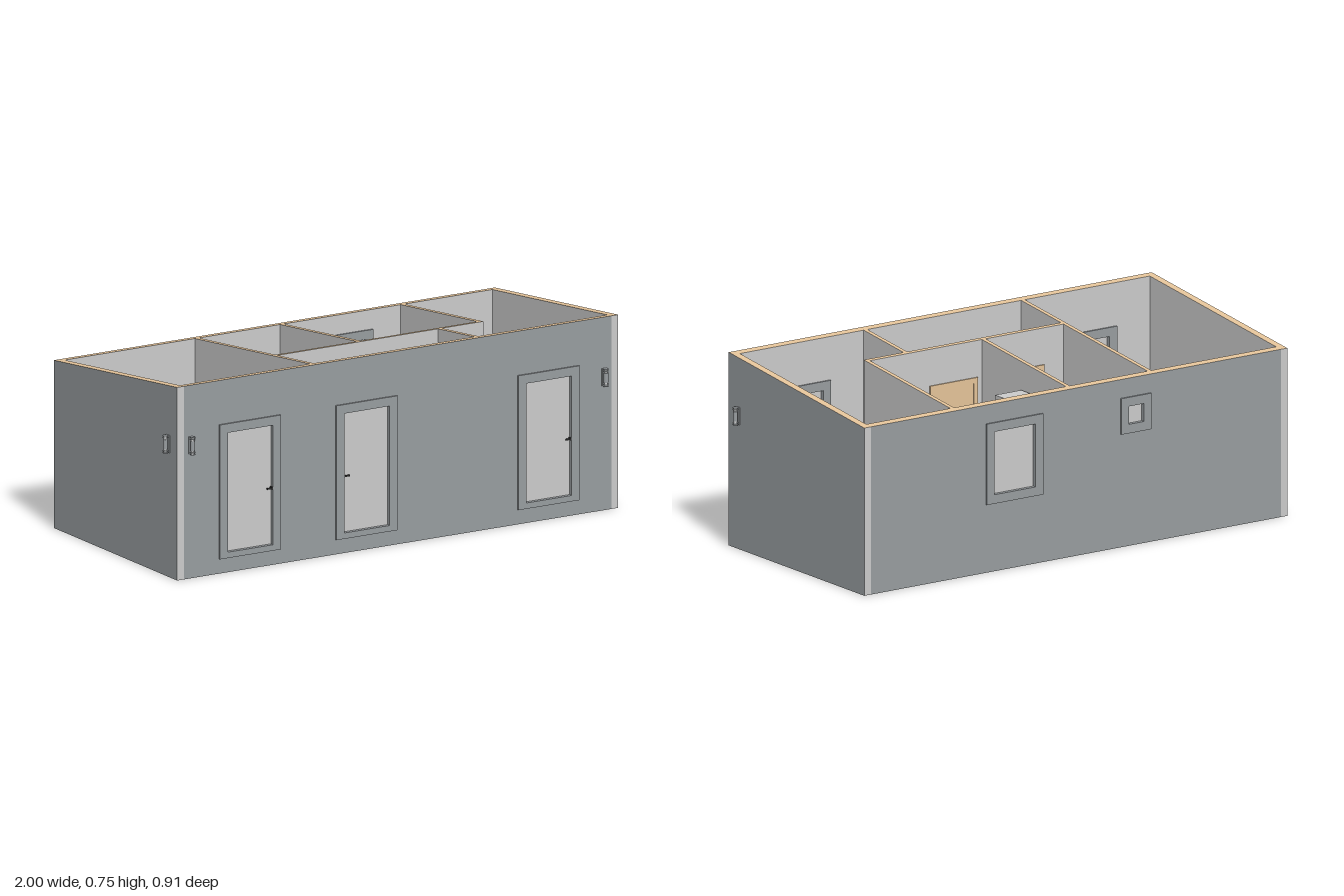
import * as THREE from 'three';
import { RoundedBoxGeometry } from 'three/addons/geometries/RoundedBoxGeometry.js';

const mat = (color) => new THREE.MeshStandardMaterial({ color });
const grey = mat(0xcccccc), outer = mat(0x989da0), tan = mat(0xe5c49a), floorMat = mat(0xd9c4a4);
const dark = mat(0x666666), black = mat(0x333333), brown = mat(0x7a6455);
const X = 0.975, ZB = -0.447, ZF = 0.43, T = 0.03, FLOOR = 0.035;
const roof = (z) => 0.653 + 0.099 * (z - ZB) / (ZF - ZB);

export function createModel() {
  const root = new THREE.Group();
  const add = (parent, name, geometry, material, x = 0, y = 0, z = 0) => {
    const m = new THREE.Mesh(geometry, material);
    m.name = name;
    m.position.set(x, y, z);
    parent.add(m);
    return m;
  };
  // box given by its limits
  const box = (parent, name, x0, x1, y0, y1, z0, z1, material = grey) =>
    add(parent, name, new THREE.BoxGeometry(x1 - x0, y1 - y0, z1 - z0), material,
      (x0 + x1) / 2, (y0 + y1) / 2, (z0 + z1) / 2);
  const group = (name, parent = root) => {
    const g = new THREE.Group();
    g.name = name;
    parent.add(g);
    return g;
  };
  // wall block whose top follows the sloping roof line
  const wall = (name, x0, x1, z0, z1, sides = {}, y0 = 0) => {
    const mats = ['px', 'nx', 'py', 'ny', 'pz', 'nz'].map((k) => sides[k] || (k[1] === 'y' ? tan : grey));
    const m = box(root, name, x0, x1, y0, 1, z0, z1, mats);
    const p = m.geometry.attributes.position;
    for (let i = 0; i < p.count; i++) {
      if (p.getY(i) > 0) p.setY(i, roof(p.getZ(i) + m.position.z) - m.position.y);
    }
    m.geometry.computeVertexNormals();
  };
  // rectangular frame standing in the xy plane, centred on z
  const frameGeo = (w, h, b, bottom, depth) => {
    const s = new THREE.Shape([[0, 0], [w, 0], [w, h], [0, h]].map(([x, y]) => new THREE.Vector2(x - w / 2, y)));
    s.holes.push(new THREE.Path([[b, bottom], [b, h - b], [w - b, h - b], [w - b, bottom]]
      .map(([x, y]) => new THREE.Vector2(x - w / 2, y))));
    return new THREE.ExtrudeGeometry(s, { depth, bevelEnabled: false }).translate(0, 0, -depth / 2);
  };
  // lever handles on both faces of a door
  const handles = (parent, x, y, half, dir) => {
    for (const s of [1, -1]) {
      const z = s * (half + 0.006);
      box(parent, 'doorHandle', x - 0.004, x + 0.004, y - 0.005, y + 0.005, z - 0.008, z + 0.008, black);
      box(parent, 'doorHandle', Math.min(x, x + dir * 0.025), Math.max(x, x + dir * 0.025),
        y - 0.003, y + 0.003, z + s * 0.007 - 0.002, z + s * 0.007 + 0.002, black);
    }
  };

  // floor slab, recessed under the walls
  box(root, 'floor', -X + T, X - T, 0.016, FLOOR, ZB + T, ZF - T,
    [outer, outer, floorMat, outer, outer, outer]);

  // outer walls with openings for doors and windows
  wall('sideWall', -X, -X + T, ZB, ZF, { nx: outer });
  wall('sideWall', X - T, X, ZB, ZF, { px: outer });
  const longWall = (name, z0, z1, sides, openings) => {
    let x = -X + T;
    for (const o of openings) {
      const b = 0.035, a0 = o.x0 + b / 2, a1 = o.x1 - b / 2;
      const y0 = o.y0 + 0.012, y1 = o.y1 - b / 2;
      wall(name, x, a0, z0, z1, sides);
      box(root, name, a0, a1, 0, y0, z0, z1, ['px', 'nx', 'py', 'ny', 'pz', 'nz'].map((k) => sides[k] || (k[1] === 'y' ? tan : grey)));
      wall(name, a0, a1, z0, z1, sides, y1);
      x = a1;
      const g = group(o.name);
      g.position.set((o.x0 + o.x1) / 2, o.y0, (z0 + z1) / 2);
      const w = o.x1 - o.x0, h = o.y1 - o.y0, bottom = o.handle ? 0.023 : b;
      add(g, 'frame', frameGeo(w, h, b, bottom, T + 0.014), outer);
      box(g, 'pane', -w / 2 + b, w / 2 - b, bottom, h - b, -0.006, 0.006);
      if (o.handle) handles(g, o.handle * (w / 2 - b), 0.243, 0.006, -o.handle);
    }
    wall(name, x, X - T, z0, z1, sides);
  };
  const door = (x, handle) => ({ name: 'outsideDoor', x0: x - 0.135, x1: x + 0.135, y0: 0.057, y1: 0.58, handle });
  longWall('frontWall', ZF - T, ZF, { pz: outer }, [door(-0.655, 1), door(-0.14, -1), door(0.665, 1)]);
  longWall('backWall', ZB, ZB + T, { nz: outer }, [
    { name: 'smallWindow', x0: -0.345, x1: -0.205, y0: 0.44, y1: 0.58 },
    { name: 'largeWindow', x0: 0.155, x1: 0.415, y0: 0.265, y1: 0.58 }]);

  // room partitions
  const zi = ZB + T, zo = ZF - T;
  wall('partition', -0.369, -0.352, zi, zo);
  wall('partition', 0.007, 0.024, zi, 0.126);
  wall('partition', 0.54, 0.557, zi, 0.126);
  wall('partition', -0.352, 0.557, 0.126, 0.143);
  wall('partition', 0.357, 0.374, 0.143, zo);

  // inside doors
  for (const [x, z, w, turn, side] of [[-0.15, 0.1345, 0.22, 0, -1], [0.155, 0.1345, 0.22, 0, 1],
    [-0.3605, 0.265, 0.23, 1, 1], [0.3655, 0.265, 0.23, 1, -1]]) {
    const g = group('insideDoor');
    g.position.set(x, FLOOR, z);
    g.rotation.y = turn * Math.PI / 2;
    add(g, 'doorFrame', frameGeo(w, 0.54, 0.02, 0.004, 0.027), tan);
    box(g, 'doorLeaf', -w / 2 + 0.02, w / 2 - 0.02, 0.004, 0.52, -0.011, 0.011, tan);
    handles(g, side * (w / 2 - 0.035), 0.26, 0.011, -side);
  }

  // beds, head at local -z
  for (const [x, z, turn] of [[0.415, -0.18, 0], [0.815, -0.18, 0], [-0.822, 0.152, Math.PI], [-0.61, -0.297, -Math.PI / 2]]) {
    const g = group('bed');
    g.position.set(x, FLOOR, z);
    g.rotation.y = turn;
    box(g, 'bedBase', -0.108, 0.108, 0.025, 0.07, -0.232, 0.232, black);
    box(g, 'headboard', -0.115, 0.115, 0, 0.19, -0.24, -0.23, black);
    box(g, 'footboard', -0.115, 0.115, 0, 0.12, 0.23, 0.24, black);
    add(g, 'mattress', new RoundedBoxGeometry(0.214, 0.045, 0.456, 2, 0.012), grey, 0, 0.09, 0);
    box(g, 'blanket', -0.11, 0.11, 0.06, 0.117, -0.13, 0.228, dark);
    add(g, 'pillow', new RoundedBoxGeometry(0.145, 0.035, 0.085, 3, 0.016), grey, 0, 0.124, -0.175);
  }

  // bedside tables
  for (const [x0, x1, z0, z1] of [[0.185, 0.285, -0.417, -0.34], [0.572, 0.675, -0.417, -0.34],
    [-0.45, -0.372, -0.165, -0.06], [-0.685, -0.58, 0.305, 0.397]]) {
    box(root, 'bedsideTable', x0, x1, FLOOR, 0.15, z0, z1, brown);
  }

  // wardrobes
  for (const [x0, x1, z0, z1] of [[0.03, 0.15, -0.33, -0.135], [-0.487, -0.37, -0.045, 0.15], [0.825, 0.944, 0.2, 0.398]]) {
    box(root, 'wardrobe', x0, x1, FLOOR, 0.58, z0, z1);
  }

  // hall bench
  const bench = group('bench');
  box(bench, 'benchSeat', 0.085, 0.275, 0.12, 0.14, 0.32, 0.397);
  for (const x of [0.085, 0.26]) box(bench, 'benchLeg', x, x + 0.015, FLOOR, 0.12, 0.325, 0.39);
  box(bench, 'benchBack', 0.085, 0.275, 0.14, 0.22, 0.385, 0.397);

  // toilet
  const toilet = group('toilet');
  toilet.position.set(-0.272, FLOOR, -0.327);
  box(toilet, 'tank', -0.045, 0.045, 0.08, 0.19, -0.09, -0.055);
  const bowl = new THREE.LatheGeometry([[0, 0], [0.026, 0], [0.026, 0.04], [0.045, 0.09], [0.046, 0.1], [0, 0.102]]
    .map(([r, y]) => new THREE.Vector2(r, y)), 24);
  add(toilet, 'bowl', bowl, grey).scale.z = 1.35;

  // corner shower: quarter-round tray with a curved screen
  const shower = group('shower');
  shower.position.set(0.005, FLOOR, -0.415);
  const sector = new THREE.Shape().moveTo(0, 0).lineTo(-0.205, 0).lineTo(-0.205, -0.03);
  sector.absarc(-0.03, -0.03, 0.175, Math.PI, Math.PI * 1.5, false).lineTo(0, -0.205);
  add(shower, 'showerTray', new THREE.ExtrudeGeometry(sector, { depth: 0.035, bevelEnabled: false, curveSegments: 20 })
    .rotateX(-Math.PI / 2), grey);
  const ring = new THREE.Shape().absarc(-0.03, -0.03, 0.175, Math.PI, Math.PI * 1.5, false);
  ring.lineTo(0, -0.205).lineTo(0, -0.195).lineTo(-0.03, -0.195);
  ring.absarc(-0.03, -0.03, 0.165, Math.PI * 1.5, Math.PI, true).lineTo(-0.195, 0).lineTo(-0.205, 0);
  add(shower, 'showerScreen', new THREE.ExtrudeGeometry(ring, { depth: 0.44, bevelEnabled: false, curveSegments: 20 })
    .rotateX(-Math.PI / 2), grey);

  // wash basin with cabinet
  const basin = group('washBasin');
  box(basin, 'cabinet', -0.352, -0.315, 0.33, 0.5, -0.125, 0.02);
  add(basin, 'bowl', new RoundedBoxGeometry(0.085, 0.05, 0.11, 3, 0.015), grey, -0.307, 0.215, -0.05);
  box(basin, 'pedestal', -0.345, -0.305, FLOOR, 0.2, -0.07, -0.03);
  box(basin, 'tap', -0.34, -0.31, 0.25, 0.256, -0.054, -0.046, black);

  // ladder towel rail
  const rail = group('towelRail');
  for (const z of [-0.16, -0.056]) box(rail, 'railPost', -0.006, 0.004, 0.27, 0.57, z, z + 0.008, black);
  for (let i = 0; i < 6; i++) box(rail, 'railBar', -0.004, 0.002, 0.285 + i * 0.052, 0.293 + i * 0.052, -0.16, -0.05, black);

  // wall lamps: two on the front, one on each side
  for (const [x, z, turn] of [[-0.915, ZF, 0], [0.912, ZF, 0], [X, 0.368, Math.PI / 2], [-X, 0.368, -Math.PI / 2]]) {
    const g = group('wallLamp');
    g.position.set(x, 0.519, z);
    g.rotation.y = turn;
    box(g, 'backPlate', -0.01, 0.01, -0.034, 0.034, 0, 0.004, outer);
    add(g, 'lampBody', new THREE.CylinderGeometry(0.009, 0.009, 0.038, 16), outer, 0, 0, 0.014);
    for (const s of [1, -1]) {
      add(g, 'lampTube', new THREE.CylinderGeometry(0.006, 0.006, 0.015, 16), grey, 0, s * 0.026, 0.014);
      for (const y of [0.026, 0.033]) add(g, 'lampCap', new THREE.CylinderGeometry(0.01, 0.01, 0.003, 16), outer, 0, s * y, 0.014);
    }
  }
  return root;
}
